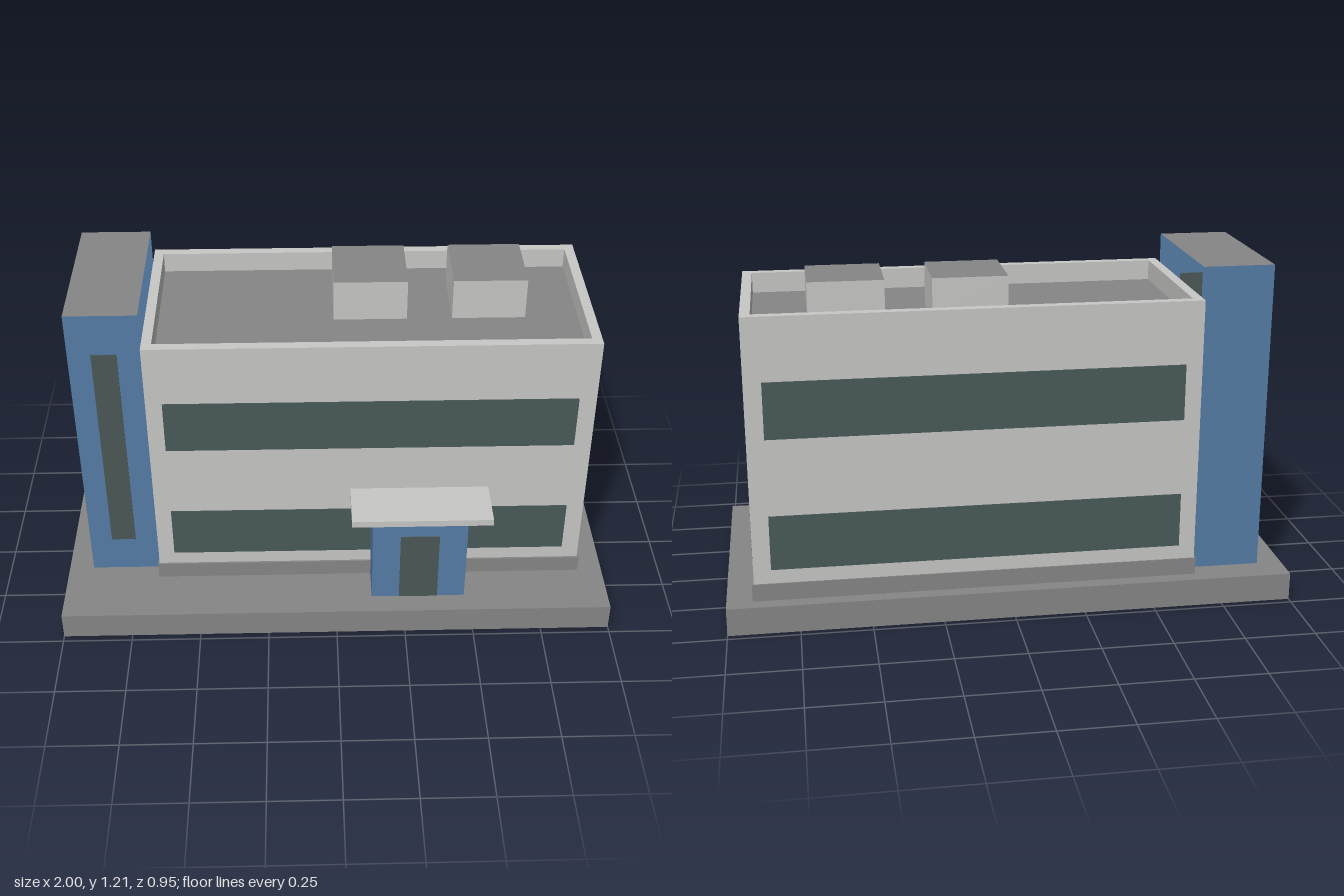
import * as THREE from 'three';

const paint = (name, color) => {
  const m = new THREE.MeshStandardMaterial({ color, side: THREE.DoubleSide });
  m.name = name;
  return m;
};

export function createModel() {
  const model = new THREE.Group();
  model.name = 'officeBuilding';
  const wall = paint('paleGreyWall', 0xc8c8c6);
  const stone = paint('midGreyStone', 0x868686);
  const blue = paint('blueCladding', 0x557da6);
  const glass = paint('darkGreenGlass', 0x4a5a5a);
  const smoked = paint('smokedGlass', 0x4b5956);

  // Box between two limits per axis; omit lists open sides (px nx py ny pz nz)
  const sides = ['px', 'nx', 'py', 'ny', 'pz', 'nz'];
  function box(name, material, [x0, x1], [y0, y1], [z0, z1], omit = []) {
    const g = new THREE.BoxGeometry(x1 - x0, y1 - y0, z1 - z0);
    const all = Array.from(g.index.array);
    const index = [];
    g.clearGroups();
    sides.forEach((s, i) => {
      if (omit.includes(s)) return;
      g.addGroup(index.length, 6, i);
      index.push(...all.slice(i * 6, i * 6 + 6));
    });
    g.setIndex(index);
    const mesh = new THREE.Mesh(g, material);
    mesh.name = name;
    mesh.position.set((x0 + x1) / 2, (y0 + y1) / 2, (z0 + z1) / 2);
    model.add(mesh);
    return mesh;
  }

  // Ground slab, open underneath
  box('groundSlab', stone, [-1, 1], [0, 0.1], [-0.475, 0.475], ['ny']);

  // Outer walls with parapet, as a rectangular ring
  const outline = (P, x0, x1, z0, z1) => new P([
    new THREE.Vector2(x0, -z0), new THREE.Vector2(x0, -z1),
    new THREE.Vector2(x1, -z1), new THREE.Vector2(x1, -z0),
  ]);
  const ring = outline(THREE.Shape, -0.655, 0.903, -0.42, 0.262);
  ring.holes.push(outline(THREE.Path, -0.62, 0.868, -0.385, 0.227));
  const walls = new THREE.Mesh(
    new THREE.ExtrudeGeometry(ring, { depth: 1.015, bevelEnabled: false }).rotateX(-Math.PI / 2), wall);
  walls.name = 'mainWalls';
  walls.position.y = 0.093;
  model.add(walls);

  // Flat roof inside the parapet
  box('roof', stone, [-0.62, 0.868], [1.025, 1.035], [-0.385, 0.227]);

  // Plinth around the wall foot
  box('plinth', stone, [-0.66, 0.91], [0.1, 0.162], [-0.425, 0.269], ['ny']);

  // Roof units with grey lids
  for (const x of [0, 0.42]) {
    box('roofUnit', [wall, wall, stone, wall, wall, wall],
      [x, x + 0.26], [1.035, 1.186], [-0.29, -0.03], ['ny']);
  }

  // Ribbon windows on two floors: front, back and right end
  for (const y of [[0.213, 0.41], [0.685, 0.885]]) {
    box('frontWindow', glass, [-0.597, 0.842], y, [0.26, 0.2645]);
    box('backWindow', glass, [-0.597, 0.842], y, [-0.4225, -0.418]);
    box('sideWindow', glass, [0.9, 0.9055], y, [-0.355, 0.2]);
  }

  // Stair tower, open toward the main block, with a grey roof
  box('stairTower', [blue, blue, stone, blue, blue, blue],
    [-0.91, -0.66], [0.085, 1.212], [-0.368, 0.212], ['px', 'ny']);
  box('towerWindow', smoked, [-0.83, -0.742], [0.24, 1.058], [0.21, 0.2145]);

  // Entrance porch, door and canopy
  box('porch', blue, [0.13, 0.47], [0.085, 0.478], [0.262, 0.396], ['nz', 'py', 'ny']);
  box('door', smoked, [0.23, 0.37], [0.1, 0.385], [0.394, 0.3985]);
  box('canopy', wall, [0.053, 0.55], [0.477, 0.502], [0.262, 0.45]);

  return model;
}
